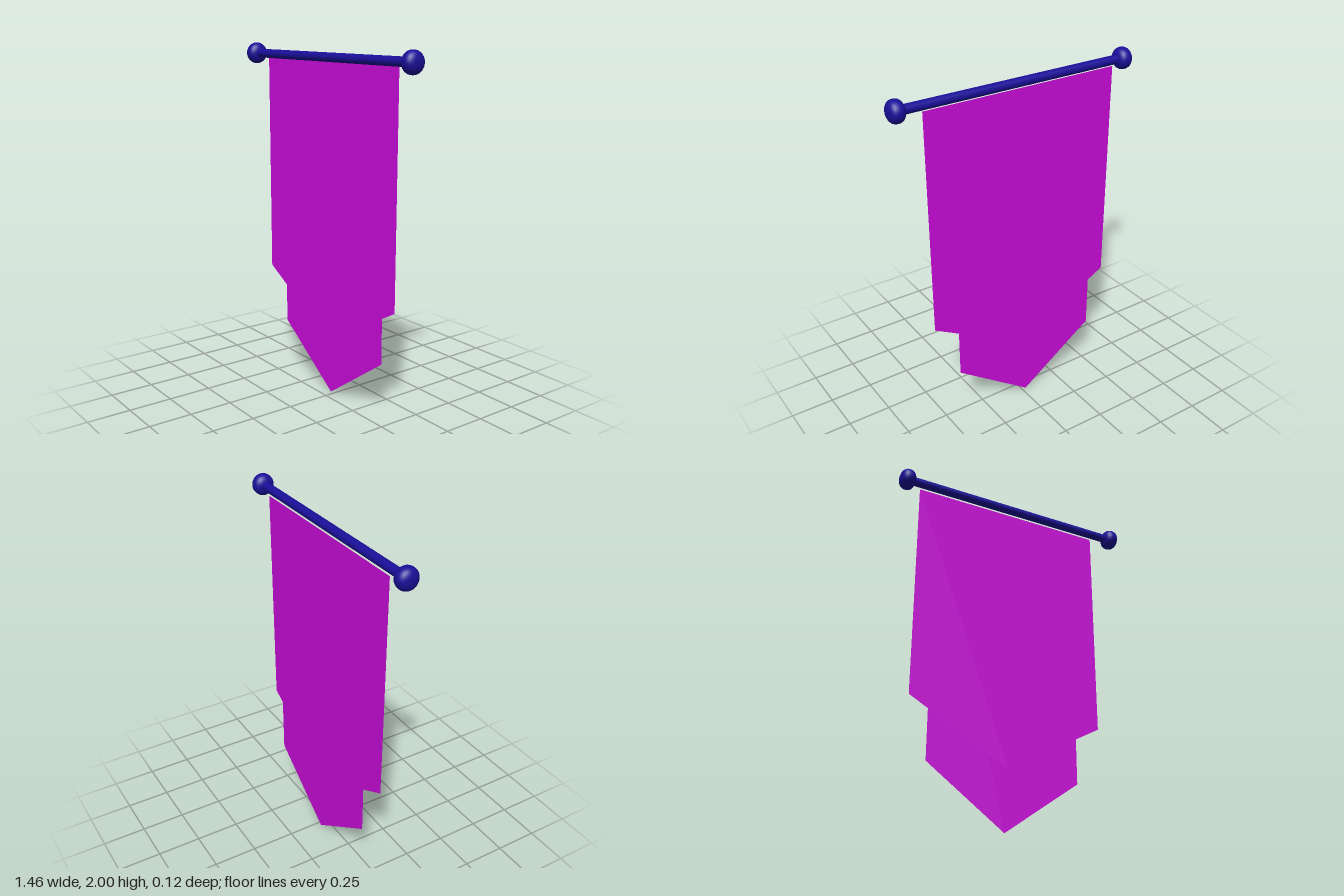
import * as THREE from 'three';

const ROD_Y = 1.94;

// Flat hanging cloth with a pointed lower edge
function clothPanel(name, left, right, top, shoulder, tipX, tipY, z, material) {
  const shape = new THREE.Shape([
    new THREE.Vector2(left, top),
    new THREE.Vector2(left, shoulder),
    new THREE.Vector2(tipX, tipY),
    new THREE.Vector2(right, shoulder),
    new THREE.Vector2(right, top),
  ]);
  const mesh = new THREE.Mesh(new THREE.ShapeGeometry(shape), material);
  mesh.name = name;
  mesh.position.z = z;
  return mesh;
}

// Rounded knob profile, slightly fuller than an ellipse, turned around the rod axis
function knobGeometry(radius, halfLength) {
  const profile = [];
  const steps = 16;
  const soften = (v) => Math.sign(v) * Math.pow(Math.abs(v), 0.85);
  for (let i = 0; i <= steps; i++) {
    const a = -Math.PI / 2 + (Math.PI * i) / steps;
    const r = i === 0 || i === steps ? 0 : radius * soften(Math.cos(a));
    profile.push(new THREE.Vector2(r, halfLength * soften(Math.sin(a))));
  }
  return new THREE.LatheGeometry(profile, 32).rotateZ(Math.PI / 2);
}

export function createModel() {
  const group = new THREE.Group();
  group.name = 'hangingBanner';

  const rodMaterial = new THREE.MeshStandardMaterial({ color: 0x1a0f99 });
  const clothMaterial = new THREE.MeshStandardMaterial({ color: 0xcc0cdd, side: THREE.DoubleSide });

  // Horizontal rod
  const rod = new THREE.Mesh(new THREE.CylinderGeometry(0.025, 0.025, 1.36, 32).rotateZ(Math.PI / 2), rodMaterial);
  rod.name = 'rod';
  rod.position.y = ROD_Y;
  group.add(rod);

  // End knobs
  const knob = knobGeometry(0.06, 0.045);
  for (const side of [-1, 1]) {
    const mesh = new THREE.Mesh(knob, rodMaterial);
    mesh.name = side > 0 ? 'leftKnob' : 'rightKnob';
    mesh.position.set(side * 0.683, ROD_Y, 0);
    group.add(mesh);
  }

  // Wide front cloth and the longer, narrower cloth behind it
  group.add(clothPanel('frontCloth', -0.595, 0.557, 1.92, 0.652, -0.018, 0.333, -0.028, clothMaterial));
  group.add(clothPanel('backCloth', -0.475, 0.425, 1.93, 0.32, -0.025, 0, -0.056, clothMaterial));

  return group;
}
